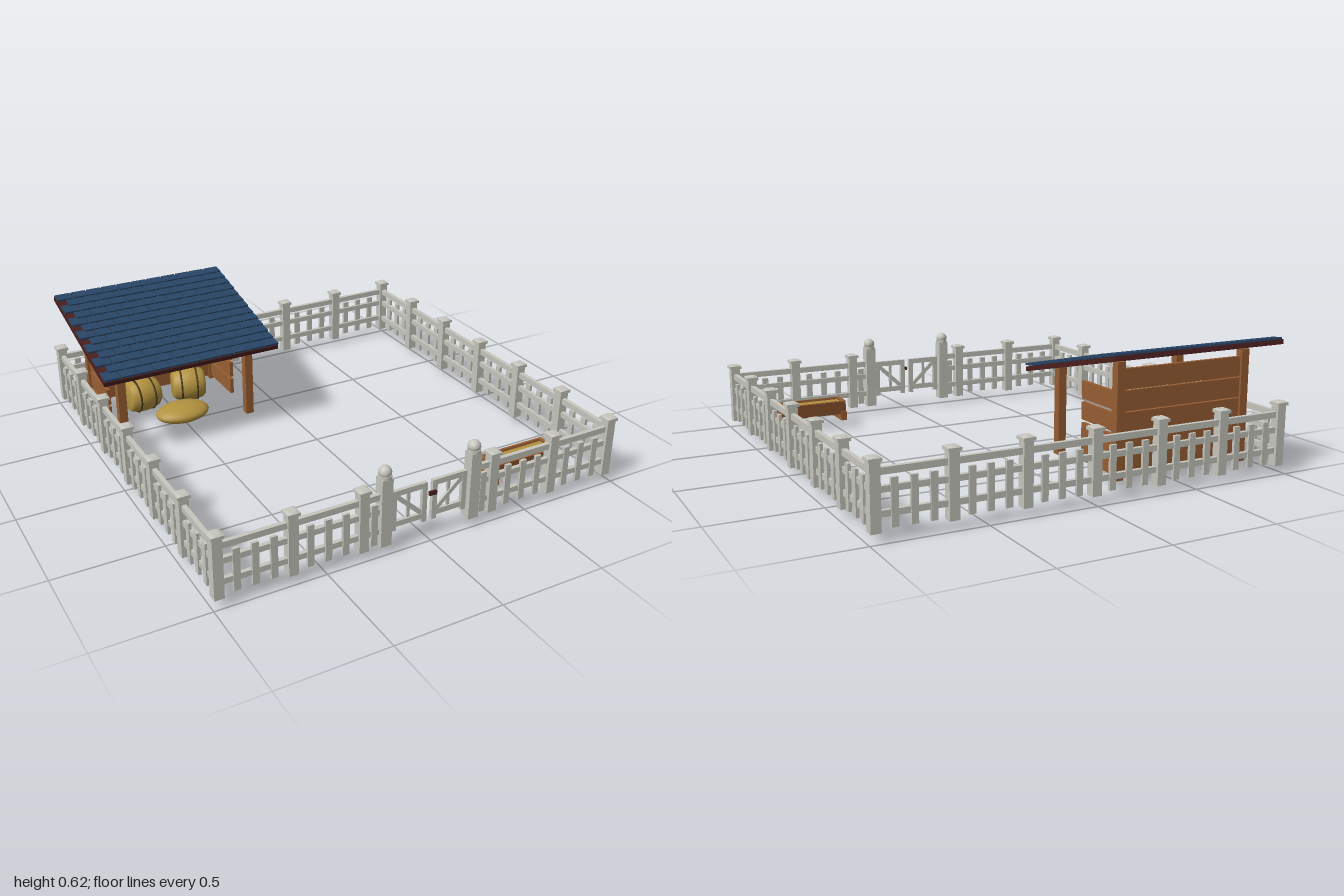
import * as THREE from 'three';

const mat = (name, color, extra = {}) => {
  const m = new THREE.MeshStandardMaterial({ color, ...extra });
  m.name = name;
  return m;
};

export function createModel() {
  const paint = mat('pale fence paint', 0xc6c6be);
  const wood = mat('brown wood', 0x985e33);
  const slate = mat('navy roof tile', 0x294566);
  const maroon = mat('dark roof board', 0x4a1f1e);
  const hay = mat('hay', 0xb3933f);
  const twine = mat('bale twine', 0x4a3818);
  const model = new THREE.Group();
  model.name = 'paddock';

  const group = (name, parent = model) => {
    const g = new THREE.Group();
    g.name = name;
    parent.add(g);
    return g;
  };
  const add = (parent, name, geo, m, x = 0, y = 0, z = 0) => {
    const mesh = new THREE.Mesh(geo, m);
    mesh.name = name;
    mesh.position.set(x, y, z);
    parent.add(mesh);
    return mesh;
  };
  const box = (parent, name, m, w, h, d, x, y, z) =>
    add(parent, name, new THREE.BoxGeometry(w, h, d), m, x, y, z);

  // Fence: posts and sections around a square
  const E = 0.97, STEP = E / 3;
  const post = (parent, x, z) => {
    box(parent, 'fencePost', paint, 0.044, 0.28, 0.044, x, 0.18, z);
    box(parent, 'postCap', paint, 0.057, 0.014, 0.057, x, 0.324, z);
    const top = add(parent, 'postCapTop', new THREE.CylinderGeometry(0.024, 0.04, 0.006, 4), paint, x, 0.334, z);
    top.rotation.y = Math.PI / 4;
  };
  const section = (parent, x0, x1, pickets) => {
    const w = x1 - x0, c = (x0 + x1) / 2;
    for (const [y, h] of [[0.275, 0.028], [0.205, 0.026], [0.11, 0.026]])
      box(parent, 'fenceRail', paint, w, h, 0.02, c, y, E);
    for (let i = 1; i <= pickets; i++)
      box(parent, 'picket', paint, 0.03, 0.195, 0.014, x0 + w * i / (pickets + 1), 0.15, E + 0.008);
  };
  ['frontFence', 'leftFence', 'backFence', 'rightFence'].forEach((name, side) => {
    const g = group(name);
    g.rotation.y = side * Math.PI / 2;
    for (let i = 0; i < 6; i++) {
      const x = -E + i * STEP;
      if (side !== 0 || i !== 3) post(g, x, E);
      if (side !== 0 || (i !== 2 && i !== 3)) section(g, x, x + STEP, 3);
    }
  });
  section(model.children[0], -STEP, -0.22, 1);
  section(model.children[0], 0.22, STEP, 1);

  // Double gate with round-topped posts and diagonal braces
  const gate = group('gate');
  for (const s of [-1, 1]) {
    box(gate, 'gatePost', paint, 0.052, 0.32, 0.052, s * 0.22, 0.2, E);
    add(gate, 'gatePostCollar', new THREE.CylinderGeometry(0.03, 0.03, 0.014, 16), paint, s * 0.22, 0.365, E);
    add(gate, 'gatePostBall', new THREE.SphereGeometry(0.029, 16, 12), paint, s * 0.22, 0.385, E);
    const leaf = group(s < 0 ? 'rightGateLeaf' : 'leftGateLeaf', gate);
    leaf.position.set(s * 0.1, 0, E);
    for (const dx of [-0.075, 0.075])
      box(leaf, 'gateStile', paint, 0.024, 0.19, 0.018, dx, 0.185, 0);
    for (const y of [0.267, 0.12])
      box(leaf, 'gateRail', paint, 0.172, 0.026, 0.016, 0, y, 0);
    const brace = box(leaf, 'gateBrace', paint, 0.19, 0.02, 0.013, 0, 0.193, 0);
    brace.rotation.z = s * Math.atan2(0.13, 0.14);
    box(leaf, 'gateSlat', paint, 0.014, 0.14, 0.01, 0, 0.193, -0.004);
  }
  box(gate, 'gateLatch', maroon, 0.036, 0.018, 0.012, 0.01, 0.225, E + 0.014);

  // Shelter frame and plank walls
  const shed = group('shelter');
  const XL = -0.865, XR = -0.2, ZF = -0.365, ZB = -0.835;
  for (const x of [XL, XR]) {
    box(shed, 'frontShelterPost', wood, 0.04, 0.42, 0.04, x, 0.25, ZF);
    box(shed, 'backShelterPost', wood, 0.04, 0.52, 0.04, x, 0.3, ZB);
    for (let i = 0; i < 4; i++)
      box(shed, 'sidePlank', wood, 0.018, 0.081, 0.26, x, 0.1 + i * 0.0953, -0.692);
  }
  for (let i = 0; i < 5; i++)
    box(shed, 'backPlank', wood, XR - XL, 0.09, 0.018, (XL + XR) / 2, 0.1 + i * 0.0953, ZB);

  // Sloping roof: board plus staggered, overlapping tiles
  const roof = group('roof', shed);
  roof.position.set(-0.535, 0.505, -0.602);
  roof.rotation.x = 0.23;
  const W = 0.89, D = 0.75, ROWS = 13, COLS = 11;
  box(roof, 'roofBoard', maroon, W, 0.022, D, 0, 0.011, 0);
  const pitch = D / ROWS, tw = W / COLS;
  for (let r = 0; r < ROWS; r++) {
    const odd = r % 2;
    for (let c = 0; c < COLS; c++) {
      const x0 = -W / 2 + (c + odd * 0.5) * tw;
      const w = Math.min(tw, W / 2 - x0) - 0.006;
      const len = r === ROWS - 1 ? pitch : 0.074;
      const tile = box(roof, 'roofTile', slate, w, 0.009, len,
        x0 + 0.003 + w / 2, 0.03, D / 2 + 0.004 - r * pitch - len / 2);
      tile.rotation.x = -0.12;
    }
  }

  // Round hay bales tied with twine
  const baleProfile = [[0, -0.085], [0.062, -0.085], [0.076, -0.07], [0.086, -0.03],
    [0.088, 0], [0.086, 0.03], [0.076, 0.07], [0.062, 0.085], [0, 0.085]]
    .map(([r, y]) => new THREE.Vector2(r, y));
  for (const [x, yaw] of [[-0.66, 0.1], [-0.405, -0.25]]) {
    const bale = group('hayBale');
    bale.position.set(x, 0.12, -0.665);
    bale.rotation.set(0, yaw, Math.PI / 2);
    add(bale, 'baleBody', new THREE.LatheGeometry(baleProfile, 24), hay);
    for (const y of [-0.04, 0.04]) {
      const band = add(bale, 'baleTwine', new THREE.TorusGeometry(0.084, 0.005, 6, 28), twine, 0, y, 0);
      band.rotation.x = Math.PI / 2;
    }
  }

  // Loose hay heap
  add(model, 'hayHeap', new THREE.SphereGeometry(1, 24, 14), hay, -0.5, 0.045, -0.52)
    .scale.set(0.14, 0.045, 0.1);

  // Feeding trough with flared sides
  const trough = group('trough');
  trough.position.set(0.635, 0, 0.768);
  for (const s of [-1, 1]) {
    const side = box(trough, 'troughSide', wood, 0.35, 0.07, 0.014, 0, 0.108, s * 0.048);
    side.rotation.x = s * 0.15;
    box(trough, 'troughEnd', wood, 0.018, 0.07, 0.1, s * 0.17, 0.108, 0);
    box(trough, 'troughFoot', wood, 0.03, 0.045, 0.125, s * 0.165, 0.0625, 0);
  }
  box(trough, 'troughFloor', wood, 0.34, 0.014, 0.09, 0, 0.08, 0);
  box(trough, 'troughHay', hay, 0.325, 0.045, 0.086, 0, 0.11, 0);

  return model;
}
